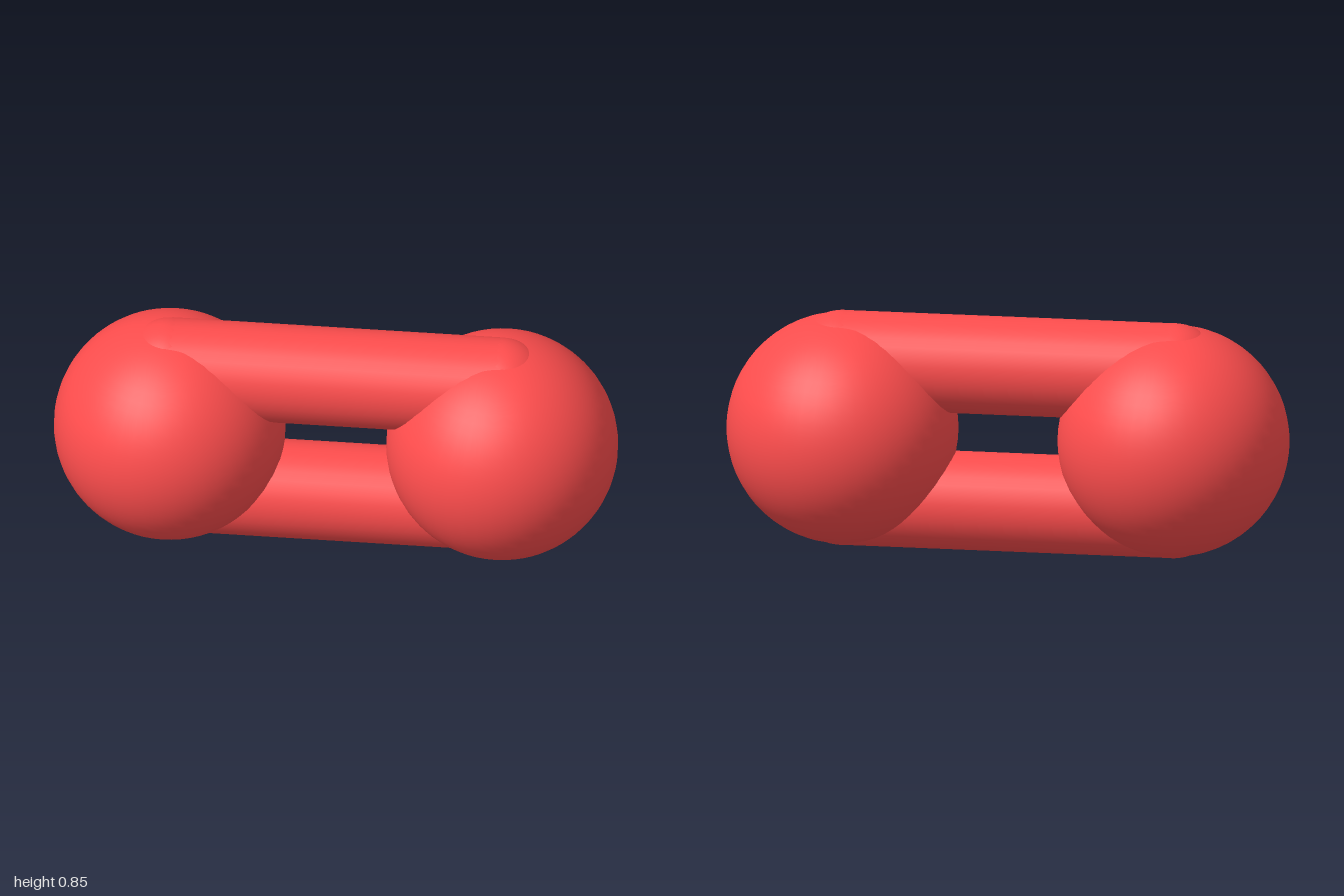
import * as THREE from 'three';

const BALL_R = 0.41, BALL_X = 0.59, MID_Y = 0.427;
const ROD_R = 0.175, ROD_OFFSET = 0.252;

export function createModel() {
  const group = new THREE.Group();
  const red = new THREE.MeshStandardMaterial({ color: 0xff4d4d });

  const add = (name, geometry, x, y) => {
    const mesh = new THREE.Mesh(geometry, red);
    mesh.name = name;
    mesh.position.set(x, y, 0);
    group.add(mesh);
  };

  const ball = new THREE.SphereGeometry(BALL_R, 48, 32);
  const joint = new THREE.SphereGeometry(ROD_R, 32, 24);
  const rod = new THREE.CylinderGeometry(ROD_R, ROD_R, BALL_X * 2, 32).rotateZ(Math.PI / 2);

  // Large end balls
  for (const [side, sx] of [['left', 1], ['right', -1]]) {
    add(side + 'Ball', ball, sx * BALL_X, MID_Y);
  }

  // Two parallel rods, each with rounded ends that poke through the balls
  for (const [level, sy] of [['upper', 1], ['lower', -1]]) {
    const y = MID_Y + sy * ROD_OFFSET;
    add(level + 'Rod', rod, 0, y);
    add(level + 'LeftRodEnd', joint, BALL_X, y);
    add(level + 'RightRodEnd', joint, -BALL_X, y);
  }
  return group;
}
